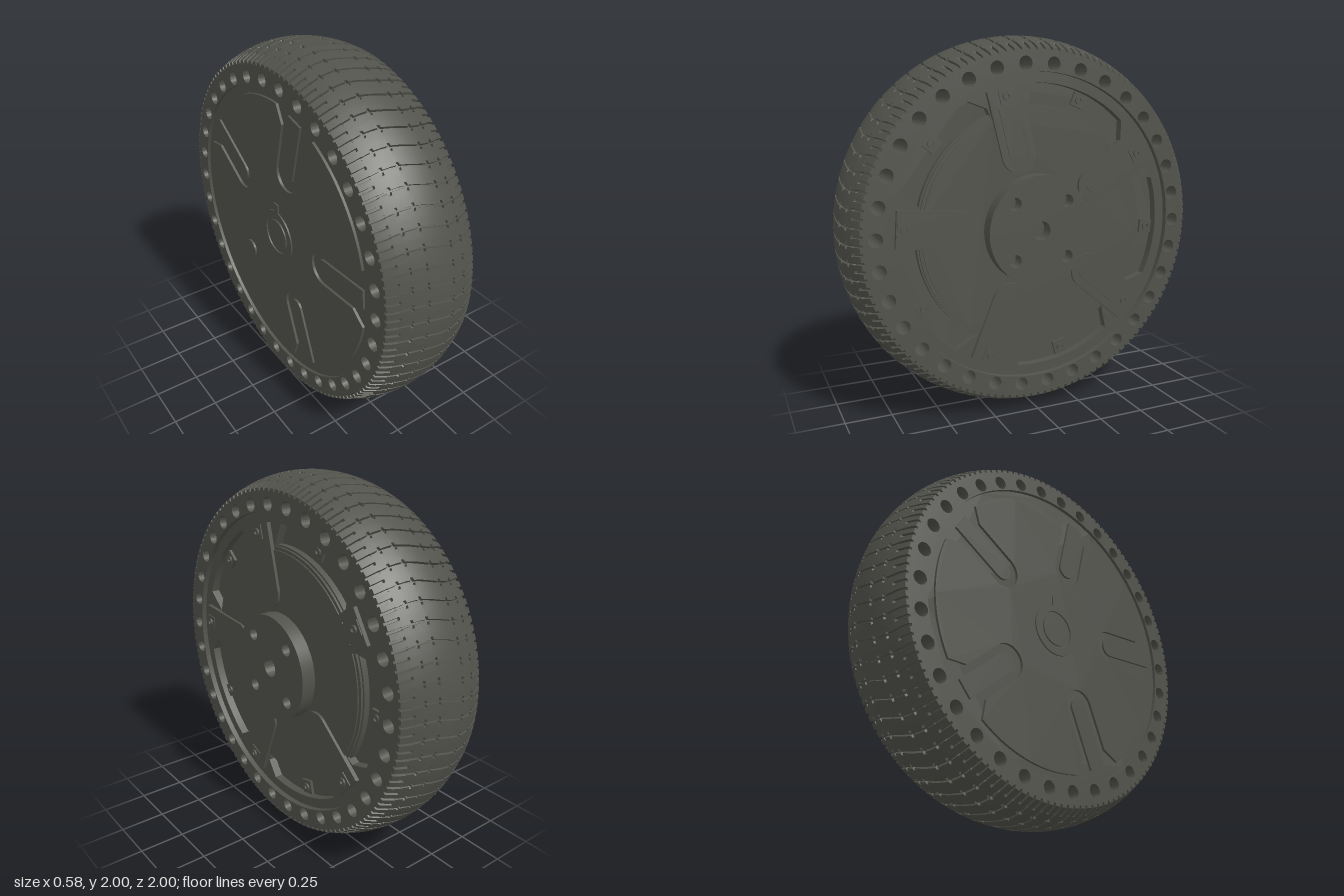
import * as THREE from 'three';
import { toCreasedNormals } from 'three/addons/utils/BufferGeometryUtils.js';

const rubberGrey = new THREE.MeshStandardMaterial({ color: 0x52524c });
rubberGrey.name = 'darkGrey';
const RAD = Math.PI / 180;
const ARMS = [0, 1, 2, 3, 4].map(i => (104 + 72 * i) * RAD);

// Everything is modelled with the axle along local z, outer (hub) side at +z.
function add(parent, name, geometry) {
  const mesh = new THREE.Mesh(geometry, rubberGrey);
  mesh.name = name;
  parent.add(mesh);
  return mesh;
}

function plate(parent, name, shape, z0, z1, segments = 24) {
  const geo = new THREE.ExtrudeGeometry(shape, { depth: z1 - z0, bevelEnabled: false, curveSegments: segments });
  geo.translate(0, 0, z0);
  return add(parent, name, toCreasedNormals(geo, 0.5));
}

const circle = (r, x = 0, y = 0, Type = THREE.Path) => new Type().absarc(x, y, r, 0, Math.PI * 2, false);
const disc = (r, ...holes) => {
  const s = circle(r, 0, 0, THREE.Shape);
  s.holes.push(...holes);
  return s;
};
const polar = (r, a) => [r * Math.cos(a), r * Math.sin(a)];

// Tongue pointing out along +x with a round inner end
function tongue(half, inner, outer, Type = THREE.Shape) {
  const p = new Type();
  p.moveTo(outer, -half);
  p.lineTo(inner + half, -half);
  p.absarc(inner + half, 0, half, -Math.PI / 2, Math.PI / 2, true);
  p.lineTo(outer, half);
  p.closePath();
  return p;
}

// Crowned tread with wavy cross grooves, widened at small sipes, and short shoulder grooves
function treadGeometry() {
  const pitches = 68, half = 0.26, mid = -0.03, R = 0.518;
  const sipes = [-0.15, -0.07, 0.08, 0.155];
  const stations = [-0.201, -0.199, 0.199, 0.201];
  for (let i = 0; i <= 20; i++) stations.push(-half + i * half / 10);
  for (const t of sipes) stations.push(t - 0.008, t - 0.006, t + 0.006, t + 0.008);
  stations.sort((a, b) => a - b);
  const columns = [{ s: -half, cap: true }, ...stations.map(s => ({ s })), { s: half, cap: true }];
  const rows = [];
  for (let p = 0; p < pitches; p++)
    for (const second of [false, true])
      for (const [side, floor] of [[-1, 0], [-0.8, 1], [0.8, 1], [1, 0]])
        rows.push({ base: (p + (second ? 0.5 : 0)) * Math.PI * 2 / pitches, side, floor, second });
  const pos = [], index = [], n = columns.length;
  for (const { base, side, floor, second } of rows)
    for (const { s, cap } of columns) {
      const shoulder = Math.abs(s) > 0.2;
      const sipe = sipes.some(t => Math.abs(s - t) < 0.007);
      const width = shoulder ? 0.008 : sipe && !second ? 0.019 : 0.0055;
      const depth = second && !shoulder ? 0 : 0.014;
      const r = cap ? 0.9 : 1 - R + Math.sqrt(R * R - s * s) - floor * depth;
      const a = base + side * width + 0.08 * s + 0.012 * Math.sin(s * 16);
      pos.push(...polar(r, a), mid + s);
    }
  for (let i = 0; i < rows.length; i++)
    for (let j = 0; j < n - 1; j++) {
      const a = i * n + j, b = ((i + 1) % rows.length) * n + j;
      index.push(a, b, a + 1, b, b + 1, a + 1);
    }
  const geo = new THREE.BufferGeometry();
  geo.setAttribute('position', new THREE.Float32BufferAttribute(pos, 3));
  geo.setIndex(index);
  return toCreasedNormals(geo, 0.5);
}

function bolt(parent, name, r, angle, z) {
  const g = new THREE.Group();
  g.name = name;
  g.rotation.z = angle;
  const pad = new THREE.Shape([[-0.038, -0.038], [0.038, -0.038], [0.038, 0.038], [-0.038, 0.038]]
    .map(([x, y]) => new THREE.Vector2(r + x, y)));
  plate(g, name + 'Pad', pad, z - 0.01, z + 0.006);
  const head = circle(0.022, r, 0, THREE.Shape);
  head.holes.push(circle(0.011, r, 0));
  plate(g, name + 'Head', head, z, z + 0.016, 10);
  parent.add(g);
}

// Pocket between two arms, centred on the given angle
function pocket(mid) {
  const p = new THREE.Path();
  p.moveTo(...polar(0.635, mid - 27 * RAD));
  p.lineTo(...polar(0.68, mid - 27 * RAD));
  p.lineTo(...polar(0.757, mid - 21 * RAD));
  p.absarc(0, 0, 0.757, mid - 21 * RAD, mid + 22 * RAD, false);
  p.lineTo(...polar(0.635, mid + 27 * RAD));
  p.absarc(0, 0, 0.635, mid + 27 * RAD, mid - 27 * RAD, true);
  return p;
}

// Inner side cover: a disc cut by five open, round-ended slots
function coverShape() {
  const s = new THREE.Shape(), half = 0.092, inner = 0.33;
  ARMS.forEach((a, i) => {
    const at = (x, y) => [x * Math.cos(a) - y * Math.sin(a), x * Math.sin(a) + y * Math.cos(a)];
    const start = at(0.67, -half);
    if (i === 0) s.moveTo(...start); else s.lineTo(...start);
    s.lineTo(...at(inner + half, -half));
    s.absarc(...at(inner + half, 0), half, a - Math.PI / 2, a + Math.PI / 2, true);
    s.lineTo(...at(0.67, half));
    s.absarc(0, 0, 0.765, a + 12 * RAD, a + 60 * RAD, false);
  });
  s.closePath();
  return s;
}

export function createModel() {
  const model = new THREE.Group();
  model.name = 'wheel';
  const wheel = new THREE.Group();
  wheel.name = 'wheelAssembly';
  wheel.rotation.y = Math.PI / 2;
  wheel.position.y = 1;
  model.add(wheel);

  // Tyre: tread and a solid body pierced by 34 holes
  add(wheel, 'tread', treadGeometry());
  const holes = [circle(0.812)];
  for (let i = 0; i < 34; i++) holes.push(circle(0.036, ...polar(0.853, (94.5 + i * 360 / 34) * RAD)));
  plate(wheel, 'tyreBody', disc(0.908, ...holes), -0.29, 0.23, 48);

  // Hub core and stepped outer face
  plate(wheel, 'hubCore', disc(0.814), -0.272, 0.155, 48);
  const pockets = ARMS.map(a => pocket(a + 36 * RAD));
  plate(wheel, 'outerFace', disc(0.814, ...pockets), 0.15, 0.2, 48);
  plate(wheel, 'faceStep', disc(0.645, circle(0.6)), 0.15, 0.188, 48);
  plate(wheel, 'raisedFace', disc(0.618), 0.19, 0.207, 48);

  // Outer arms and bolts
  for (const a of ARMS) {
    const arm = new THREE.Group();
    arm.name = 'outerArm';
    arm.rotation.z = a;
    wheel.add(arm);
    const rim = tongue(0.095, 0.31, 0.752);
    rim.holes.push(tongue(0.056, 0.36, 0.655, THREE.Path));
    plate(arm, 'armRim', rim, 0.15, 0.222);
    plate(arm, 'armFloor', tongue(0.05, 0.366, 0.66), 0.19, 0.212);
    bolt(wheel, 'armBolt', 0.71, a, 0.222);
    bolt(wheel, 'pocketBolt', 0.715, a + 36 * RAD, 0.165);
  }

  // Centre cap with axle hole and four bolt holes
  const capHoles = [circle(0.05)];
  for (let i = 0; i < 4; i++) capHoles.push(circle(0.034, ...polar(0.21, (45 + i * 90) * RAD)));
  plate(wheel, 'centreCap', disc(0.29, ...capHoles), 0.2, 0.285, 40);

  // Inner side: cover, arm tongues and keyed axle collar
  plate(wheel, 'innerCover', coverShape(), -0.286, -0.265, 32);
  for (const a of ARMS) {
    const t = plate(wheel, 'innerTongue', tongue(0.052, 0.375, 0.75), -0.284, -0.265);
    t.rotation.z = a;
  }
  plate(wheel, 'axleCollar', disc(0.145, circle(0.105)), -0.294, -0.28, 40);
  plate(wheel, 'axleEnd', disc(0.09), -0.294, -0.28, 32);
  const key = add(wheel, 'collarKey', new THREE.BoxGeometry(0.04, 0.06, 0.014));
  key.position.set(0, 0.165, -0.287);
  return model;
}
